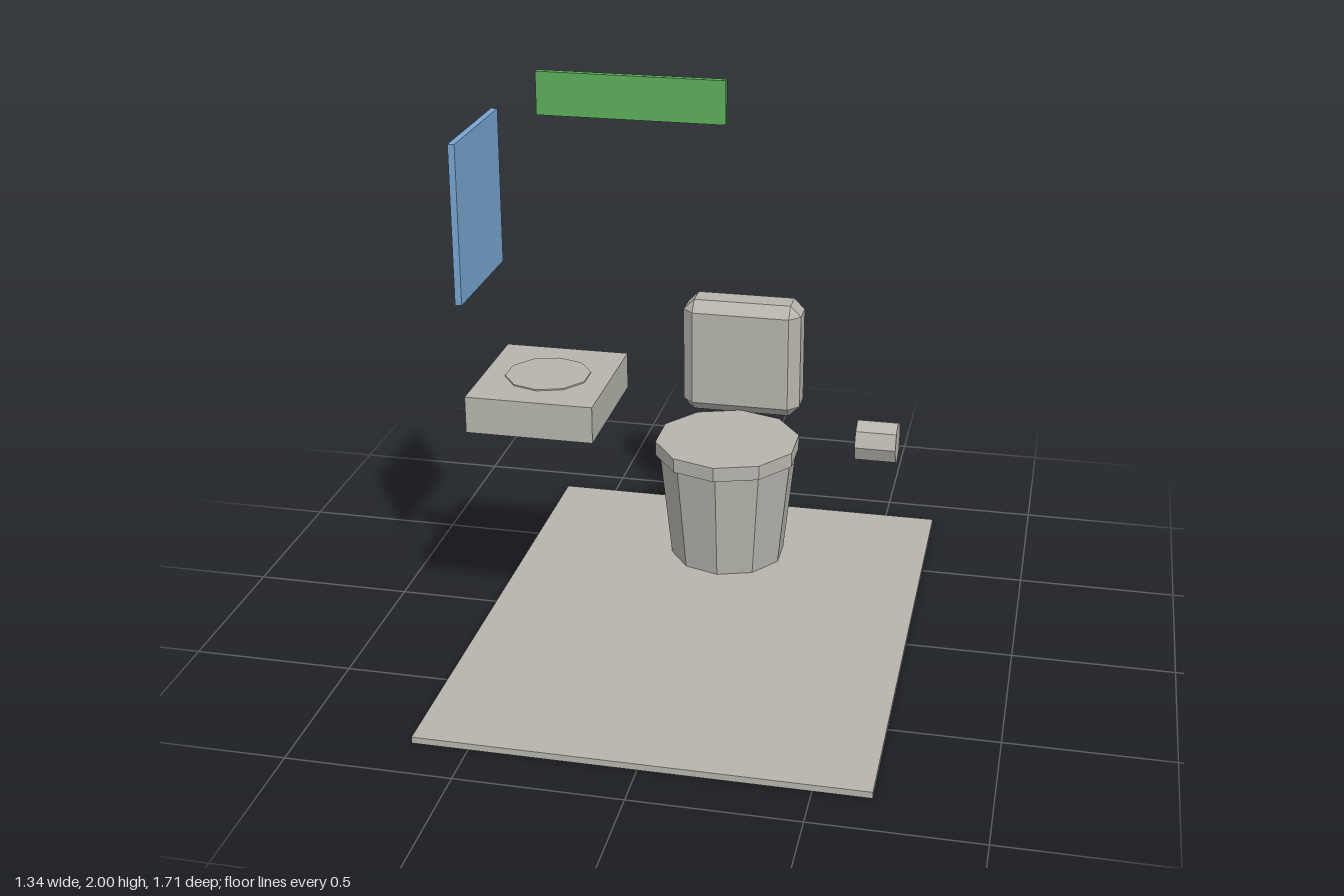
import * as THREE from 'three';
import { ConvexGeometry } from 'three/addons/geometries/ConvexGeometry.js';

function material(name, color) {
  const m = new THREE.MeshStandardMaterial({ color });
  m.name = name;
  return m;
}

// Box whose edges and corners are cut by the chamfer c
function chamferedBox(w, h, d, c) {
  const points = [];
  for (const x of [-1, 1]) for (const y of [-1, 1]) for (const z of [-1, 1]) {
    const [X, Y, Z] = [x * w / 2, y * h / 2, z * d / 2];
    points.push(
      new THREE.Vector3(X, Y - y * c, Z - z * c),
      new THREE.Vector3(X - x * c, Y, Z - z * c),
      new THREE.Vector3(X - x * c, Y - y * c, Z));
  }
  return new ConvexGeometry(points);
}

// Faceted cylinder with flat sides
function prism(rTop, rBottom, height, sides) {
  const g = new THREE.CylinderGeometry(rTop, rBottom, height, sides).toNonIndexed();
  g.computeVertexNormals();
  return g;
}

export function createModel() {
  const group = new THREE.Group();
  const grey = material('warm grey', 0xb6b4ac);
  const blue = material('mirror blue', 0x78a5d0);
  const green = material('sign green', 0x5cae5a);

  const add = (name, geometry, mat, x, y, z) => {
    const mesh = new THREE.Mesh(geometry, mat);
    mesh.name = name;
    mesh.position.set(x, y, z);
    group.add(mesh);
    return mesh;
  };

  add('floor', new THREE.BoxGeometry(1.34, 0.02, 1.706), grey, 0, 0.01, 0);

  // Toilet
  add('bowl', prism(0.233, 0.193, 0.375, 10), grey, 0, 0.2075, -0.488);
  add('seat', prism(0.243, 0.243, 0.049, 10), grey, 0, 0.42, -0.468);
  add('tank', chamferedBox(0.408, 0.405, 0.155, 0.037), grey, 0, 0.637, -0.759);

  // Wall-hung basin with a shallow disc on top
  add('sink', new THREE.BoxGeometry(0.388, 0.114, 0.437), grey, -0.437, 0.83, 0.145);
  add('sinkBasin', prism(0.13, 0.13, 0.02, 10), grey, -0.437, 0.881, 0.145);

  // Paper roll lying along x
  add('paperRoll', prism(0.067, 0.067, 0.128, 8), grey, 0.534, 0.605, -0.196).rotation.z = Math.PI / 2;

  add('mirror', new THREE.BoxGeometry(0.02, 0.485, 0.407), blue, -0.642, 1.412, 0.145);
  add('sign', new THREE.BoxGeometry(0.485, 0.112, 0.018), green, 0, 1.944, 0.824);

  return group;
}
